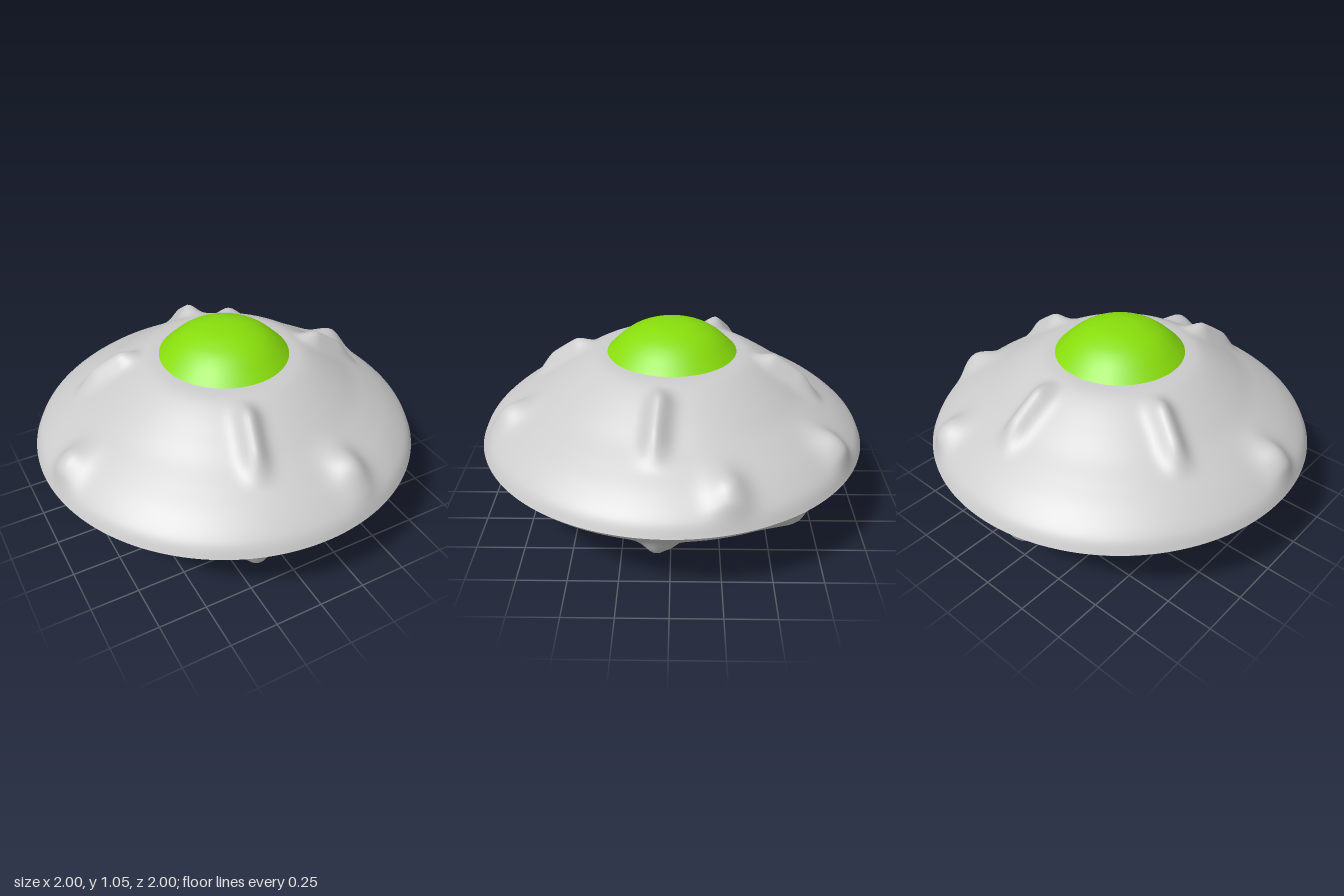
import * as THREE from 'three';
import { mergeVertices } from 'three/addons/utils/BufferGeometryUtils.js';

const grey = new THREE.MeshStandardMaterial({ color: 0xcccccc });
const green = new THREE.MeshStandardMaterial({ color: 0x88dd0c });
const { smoothstep } = THREE.MathUtils;
const SEGMENTS = 240;

// Smooth profile through a few [radius, height] points, listed from bottom to top
function profile(points, steps) {
  return new THREE.SplineCurve(points.map(([r, y]) => new THREE.Vector2(r, y))).getPoints(steps);
}

// Revolve a profile, then let move(vertex, radius) reshape it
function revolved(name, points, material, move) {
  const geo = new THREE.LatheGeometry(points, SEGMENTS);
  const pos = geo.attributes.position;
  const v = new THREE.Vector3();
  for (let i = 0; i < pos.count; i++) {
    v.fromBufferAttribute(pos, i);
    if (move) move(v, Math.hypot(v.x, v.z));
    pos.setXYZ(i, v.x, v.y, v.z);
  }
  geo.deleteAttribute('uv');
  geo.deleteAttribute('normal');
  const welded = mergeVertices(geo, 1e-5);
  welded.computeVertexNormals();
  const mesh = new THREE.Mesh(welded, material);
  mesh.name = name;
  return mesh;
}

// Sideways and outward distance of a point measured against a compass angle (0 = +z, 90 = +x)
function along(x, z, degrees) {
  const a = THREE.MathUtils.degToRad(degrees);
  return {
    side: x * Math.cos(a) - z * Math.sin(a),
    out: x * Math.sin(a) + z * Math.cos(a),
  };
}
const bell = (d, width) => Math.exp(-((d / width) ** 2));

// Radial ridges near the dome and round lumps near the rim
const ridgeAngles = [84, 174, 243, 344];
const lumps = [[16, 0.84], [107, 0.89], [150, 0.91], [277, 0.9]];
function upperLift(x, z) {
  let lift = 0;
  for (const angle of ridgeAngles) {
    const { side, out } = along(x, z, angle);
    const length = smoothstep(out, 0.4, 0.52) * (1 - smoothstep(out, 0.64, 0.8));
    lift += 0.062 * bell(side, 0.055) * length;
  }
  for (const [angle, radius] of lumps) {
    const { side, out } = along(x, z, angle);
    lift += 0.06 * bell(side, 0.085) * bell(out - radius, 0.1);
  }
  return lift;
}

// Struts pushed out of the sloping underside
const strutAngles = [342, 35, 86, 133, 188, 274];
function strutPush(x, z, y) {
  let push = 0;
  for (const angle of strutAngles) {
    const { side, out } = along(x, z, angle);
    if (out > 0) push += 0.085 * bell(side, 0.065);
  }
  return push * (1 - smoothstep(y, 0.26, 0.42));
}
function pushStrut(v, r) {
  if (r < 1e-4) return;
  // measure on the foot circle for the flat base, so its edge meets the hull
  const k = v.y < 1e-4 ? 0.43 / r : 1;
  const scale = 1 + strutPush(v.x * k, v.z * k, v.y) / (r * k);
  v.x *= scale;
  v.z *= scale;
}

export function createModel() {
  const model = new THREE.Group();

  // Upper hull with its ridges and lumps
  const upper = profile([[1, 0.45], [0.965, 0.515], [0.88, 0.59], [0.78, 0.655], [0.68, 0.715],
    [0.58, 0.785], [0.48, 0.85], [0.4, 0.889], [0.32, 0.9]], 56);
  model.add(revolved('upperHull', upper, grey, (v, r) => {
    const lift = upperLift(v.x, v.z) * (1 - smoothstep(r, 0.94, 1));
    v.y = Math.max(v.y, Math.min(v.y + lift, 0.903));
    const spread = 1 + (lift * 0.4) / r;
    v.x *= spread;
    v.z *= spread;
  }));

  // Lower hull with struts
  const lower = profile([[0.43, 0], [0.6, 0.13], [0.8, 0.28], [0.95, 0.4], [1, 0.45]], 36);
  model.add(revolved('lowerHull', lower, grey, pushStrut));

  // Flat base closing the hull
  const base = [0, 0.15, 0.3, 0.43].map((r) => new THREE.Vector2(r, 0));
  model.add(revolved('base', base.slice(), grey, pushStrut));

  // Dome
  const dome = profile([[0.335, 0.895], [0.3, 0.93], [0.25, 0.975], [0.19, 1.012], [0.1, 1.042], [0, 1.05]], 24);
  model.add(revolved('dome', dome, green));

  return model;
}
